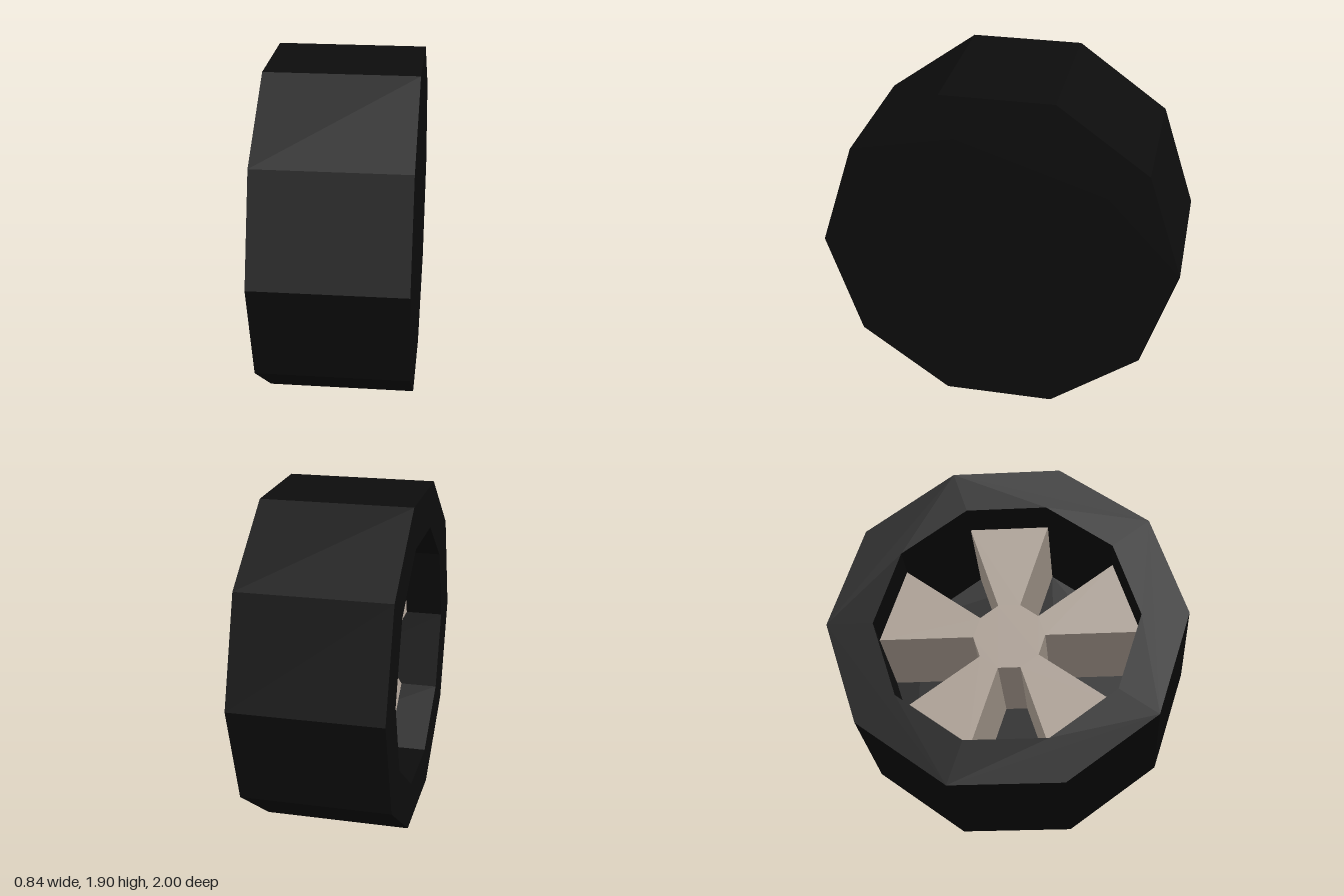
import * as THREE from 'three';

const SIDES = 10, OUTER = 1, BORE = 0.74, HUB = 0.205;
const HALF_WIDTH = 0.42, SPOKE_FRONT = 0.2, CAP = 0.01;
const AXLE_Y = OUTER * Math.sin(Math.PI * 0.4);

// corner i of a decagon with the given radius
const corner = (radius, i) => {
  const a = (i * Math.PI * 2) / SIDES;
  return new THREE.Vector2(radius * Math.cos(a), radius * Math.sin(a));
};
const decagon = (radius) => Array.from({ length: SIDES }, (_, i) => corner(radius, i));

// extrude a wheel profile (z, y) along the axle, from x = from towards -x
function extrudeAlongAxle(shape, from, to) {
  const geometry = new THREE.ExtrudeGeometry(shape, { depth: from - to, bevelEnabled: false });
  geometry.rotateY(-Math.PI / 2);
  geometry.translate(from, 0, 0);
  return geometry;
}

export function createModel() {
  const rubber = new THREE.MeshStandardMaterial({ color: 0x0d0d0d });
  rubber.name = 'black rubber';
  const metal = new THREE.MeshStandardMaterial({ color: 0xc4b6a9 });
  metal.name = 'pale metal';

  const wheel = new THREE.Group();
  wheel.name = 'wheel';
  const add = (name, geometry, material) => {
    const mesh = new THREE.Mesh(geometry, material);
    mesh.name = name;
    wheel.add(mesh);
  };

  // tyre ring with a ten-sided bore
  const ring = new THREE.Shape(decagon(OUTER));
  ring.holes.push(new THREE.Path(decagon(BORE).reverse()));
  add('tyre', extrudeAlongAxle(ring, HALF_WIDTH, -HALF_WIDTH), rubber);

  // thin plate closing the inner side
  add('backPlate', extrudeAlongAxle(new THREE.Shape(decagon(BORE)), HALF_WIDTH, HALF_WIDTH - CAP), rubber);

  // hub and five flared spokes as one star: alternate sectors reach the bore
  const star = [];
  for (let i = 0; i < SIDES; i += 2) {
    star.push(corner(HUB, i), corner(BORE, i), corner(BORE, i + 1), corner(HUB, i + 1));
  }
  add('spokes', extrudeAlongAxle(new THREE.Shape(star), HALF_WIDTH - CAP, -SPOKE_FRONT), metal);

  wheel.position.y = AXLE_Y;
  const model = new THREE.Group();
  model.name = 'wheelModel';
  model.add(wheel);
  return model;
}
